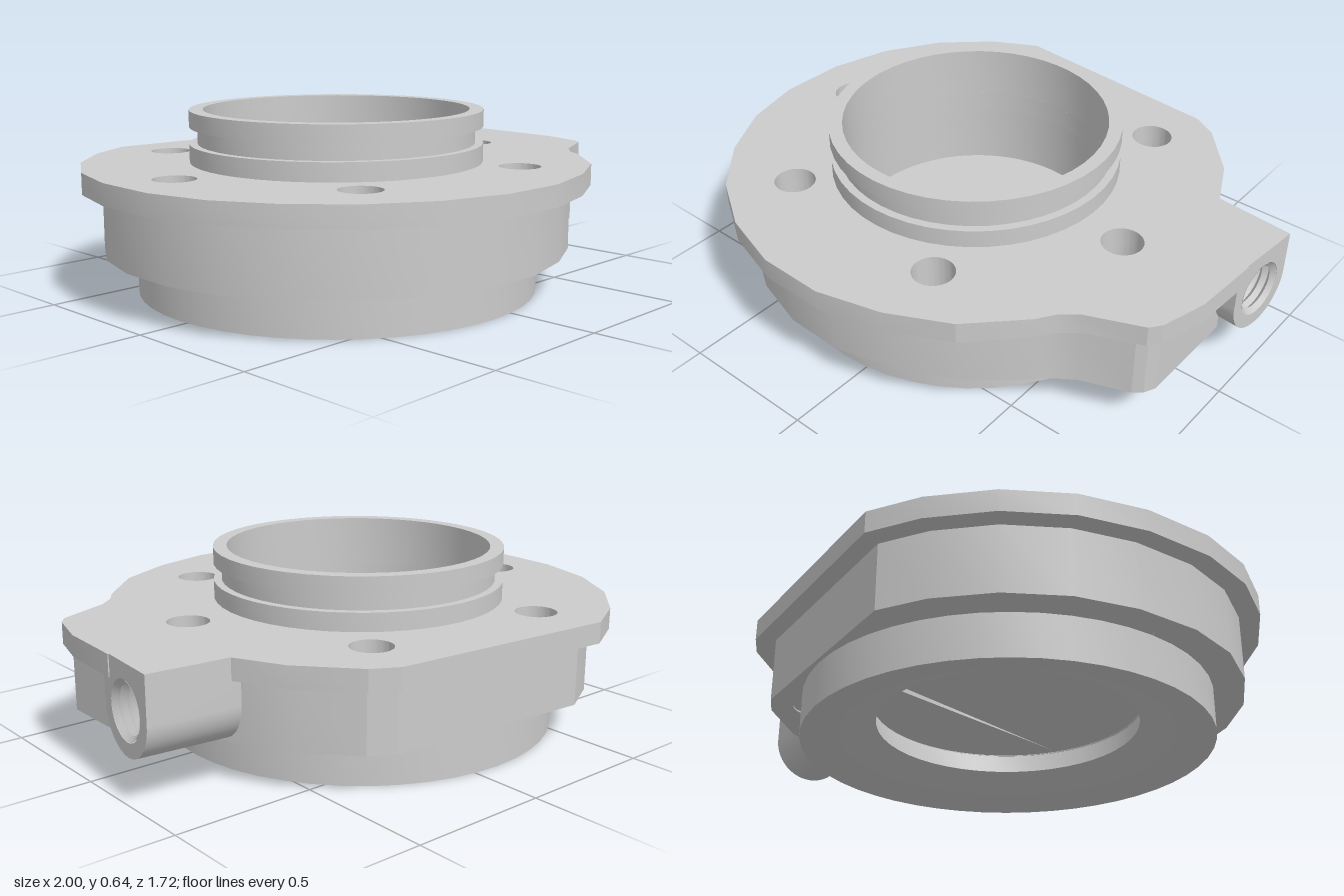
import * as THREE from 'three';
import { toCreasedNormals } from 'three/addons/utils/BufferGeometryUtils.js';

const CX = -0.103, CZ = -0.038; // bore axis
const BORE = 0.475;
const SCREWS = [[-0.395, -0.635], [0.31, -0.575], [0.59, 0.03], [0.21, 0.545], [-0.51, 0.48], [-0.785, -0.09]];

// Round part of the outline as [x, z], from the front right clockwise to the back right
const RIM = [
  [0.6, 0.52], [0.43, 0.69], [0.22, 0.795], [-0.01, 0.855], [-0.25, 0.85], [-0.48, 0.78],
  [-0.68, 0.655], [-0.84, 0.48], [-0.95, 0.28], [-1, 0.06], [-0.99, -0.19], [-0.925, -0.415],
  [-0.8, -0.615], [-0.63, -0.77], [-0.46, -0.86], [0.38, -0.79], [0.47, -0.74], [0.63, -0.56],
];

export function createModel() {
  const model = new THREE.Group();
  const material = new THREE.MeshStandardMaterial({ color: 0xcccccc });
  const thin = new THREE.MeshStandardMaterial({ color: 0xcccccc, side: THREE.DoubleSide });

  const add = (name, geometry, parent = model, mat = material) => {
    const mesh = new THREE.Mesh(geometry, mat);
    mesh.name = name;
    parent.add(mesh);
    return mesh;
  };
  const circle = (x, y, r) => new THREE.Path().absarc(x, y, r, 0, Math.PI * 2, false);
  const lathe = (points, segments) => toCreasedNormals(
    new THREE.LatheGeometry(points.map(p => new THREE.Vector2(...p)), segments), 0.5);

  // Horizontal plate from an [x, z] outline, with the bore and screw holes
  const plate = (outline, bottom, top) => {
    const shape = new THREE.Shape(outline.map(([x, z]) => new THREE.Vector2(x, -z)));
    shape.holes.push(circle(CX, -CZ, BORE));
    SCREWS.forEach(([x, z]) => shape.holes.push(circle(x, -z, 0.073)));
    const g = new THREE.ExtrudeGeometry(shape, { depth: top - bottom, bevelEnabled: false, curveSegments: 32 });
    g.rotateX(-Math.PI / 2).translate(0, bottom, 0);
    return toCreasedNormals(g, 0.3);
  };

  // Flange and the slightly smaller body, both notched for the side port
  add('flange', plate([...RIM, [0.72, -0.375], [0.72, -0.12], [0.98, -0.12], [0.965, 0.13],
    [0.92, 0.29], [0.89, 0.33], [0.7, 0.41], [0.64, 0.46]], 0.38, 0.455));
  const inner = RIM.slice(1).map(([x, z]) => [CX + (x - CX) * 0.92, CZ + (z - CZ) * 0.92]);
  add('body', plate([[0.56, 0.49], ...inner, [0.66, -0.35], [0.72, -0.12], [0.9, -0.12], [0.9, 0.26],
    [0.88, 0.3], [0.85, 0.325], [0.68, 0.39], [0.61, 0.44]], 0.15, 0.38));

  // Floors of the blind screw holes
  SCREWS.forEach(([x, z]) => {
    const floor = add('screwHoleFloor', new THREE.CircleGeometry(0.073, 24), model, thin);
    floor.rotation.x = -Math.PI / 2;
    floor.position.set(x, 0.155, z);
  });

  // Lower spigot with a flared mouth
  add('base', lathe([[0.46, 0.08], [0.65, 0], [0.717, 0], [0.717, 0.15], [BORE, 0.15], [0.46, 0.08]], 48))
    .position.set(CX, 0, CZ + 0.004);

  // Upper neck with a ring groove
  add('neck', lathe([[BORE, 0.455], [0.524, 0.455], [0.524, 0.52], [0.495, 0.52], [0.495, 0.58],
    [0.524, 0.58], [0.524, 0.64], [BORE, 0.64], [BORE, 0.455]], 48)).position.set(CX, 0, CZ);

  // Thin plate across the bore, split by a narrow slit
  const disc = new THREE.Shape().absarc(CX, -CZ, BORE, 0, Math.PI * 2, false);
  disc.holes.push(new THREE.Path([[-0.03, 0.49], [0, 0.49], [0.118, -0.36]].map(p => new THREE.Vector2(...p))));
  const borePlate = add('borePlate', new THREE.ShapeGeometry(disc, 32), model, thin);
  borePlate.rotation.x = -Math.PI / 2;
  borePlate.position.y = 0.153;

  // Side port: U-shaped boss, slightly tilted, with a threaded blind hole
  const port = new THREE.Group();
  port.name = 'sidePort';
  port.position.set(0.985, 0.3, -0.221);
  port.rotation.y = Math.PI / 2 - 0.09;
  model.add(port);
  const u = new THREE.Shape();
  u.moveTo(0.144, 0.155);
  u.lineTo(-0.144, 0.155);
  u.lineTo(-0.144, -0.005);
  u.absarc(0, -0.005, 0.144, Math.PI, Math.PI * 2, false);
  u.closePath();
  u.holes.push(circle(0, 0, 0.1));
  const boss = new THREE.ExtrudeGeometry(u, { depth: 0.32, bevelEnabled: false, curveSegments: 24 });
  add('portBoss', toCreasedNormals(boss.translate(0, 0, -0.32), 0.5), port);
  const thread = [];
  for (let i = 0; i <= 16; i++) thread.push([i % 2 ? 0.08 : 0.098, -i * 0.015]);
  thread.push([0.07, -0.24], [0, -0.24]);
  add('portThread', lathe(thread, 32).rotateX(Math.PI / 2), port, thin);

  return model;
}
